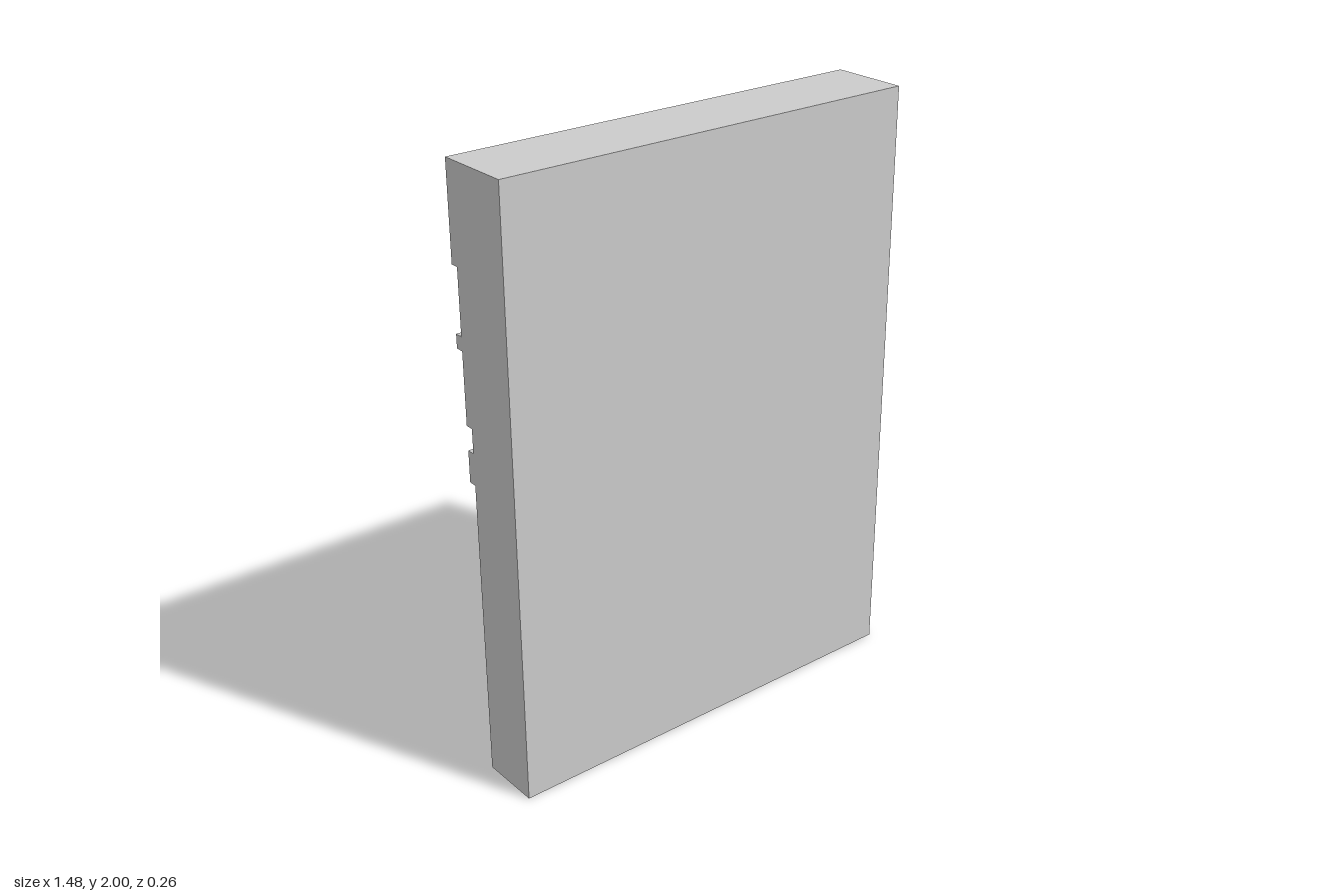
import * as THREE from 'three';

const HALF = 0.74;
const BACK = -0.076, MID = -0.103, OUTER = -0.13, FRONT = 0.13;
const TOOTH_TOP = 1.435, TOOTH_BOTTOM = 1.2;

const material = new THREE.MeshStandardMaterial({ color: 0xcccccc, flatShading: true });

function addMesh(group, geometry, name) {
  const mesh = new THREE.Mesh(geometry, material);
  mesh.name = name;
  group.add(mesh);
  return mesh;
}

// T-shaped tooth: a plain shaft with a small shoulder block each side at the top,
// cut off where it meets the ends of the wall
function toothGeometry(cx) {
  const clip = (x) => THREE.MathUtils.clamp(x, -HALF, HALF);
  const w = 0.042, head = w + 0.03, shoulder = TOOTH_TOP - 0.03;
  const outline = [
    [-w, TOOTH_BOTTOM], [w, TOOTH_BOTTOM], [w, shoulder], [head, shoulder],
    [head, TOOTH_TOP], [-head, TOOTH_TOP], [-head, shoulder], [-w, shoulder],
  ].map(([x, y]) => new THREE.Vector2(clip(cx + x), y))
    .filter((p, i, all) => i === 0 || !p.equals(all[i - 1]));
  const geometry = new THREE.ExtrudeGeometry(new THREE.Shape(outline), {
    depth: BACK - MID, bevelEnabled: false,
  });
  return geometry.translate(0, 0, MID);
}

export function createModel() {
  const model = new THREE.Group();
  model.name = 'wallPanel';

  // Wall with its stepped mouldings, as one (z, y) profile run along x
  const profile = [
    [FRONT, 0], [FRONT, 2], [OUTER, 2], [OUTER, 1.69], [MID, 1.69],
    [MID, 1.48], [OUTER, 1.48], [OUTER, TOOTH_TOP], [BACK, TOOTH_TOP],
    [BACK, 1.12], [MID, 1.12], [MID, 1.015], [BACK, 1.015], [BACK, 0],
  ].map(([z, y]) => new THREE.Vector2(z, y));
  const wall = new THREE.ExtrudeGeometry(new THREE.Shape(profile), {
    depth: 2 * HALF, bevelEnabled: false,
  });
  wall.translate(0, 0, -HALF).rotateY(-Math.PI / 2);
  addMesh(model, wall, 'wall');

  // Row of teeth hanging under the thin ledge
  const teeth = new THREE.Group();
  teeth.name = 'teeth';
  [0.75, 0.496, 0.239, 0.002, -0.255, -0.488, -0.723].forEach((x, i) => {
    addMesh(teeth, toothGeometry(x), `tooth${i + 1}`);
  });
  model.add(teeth);

  return model;
}
